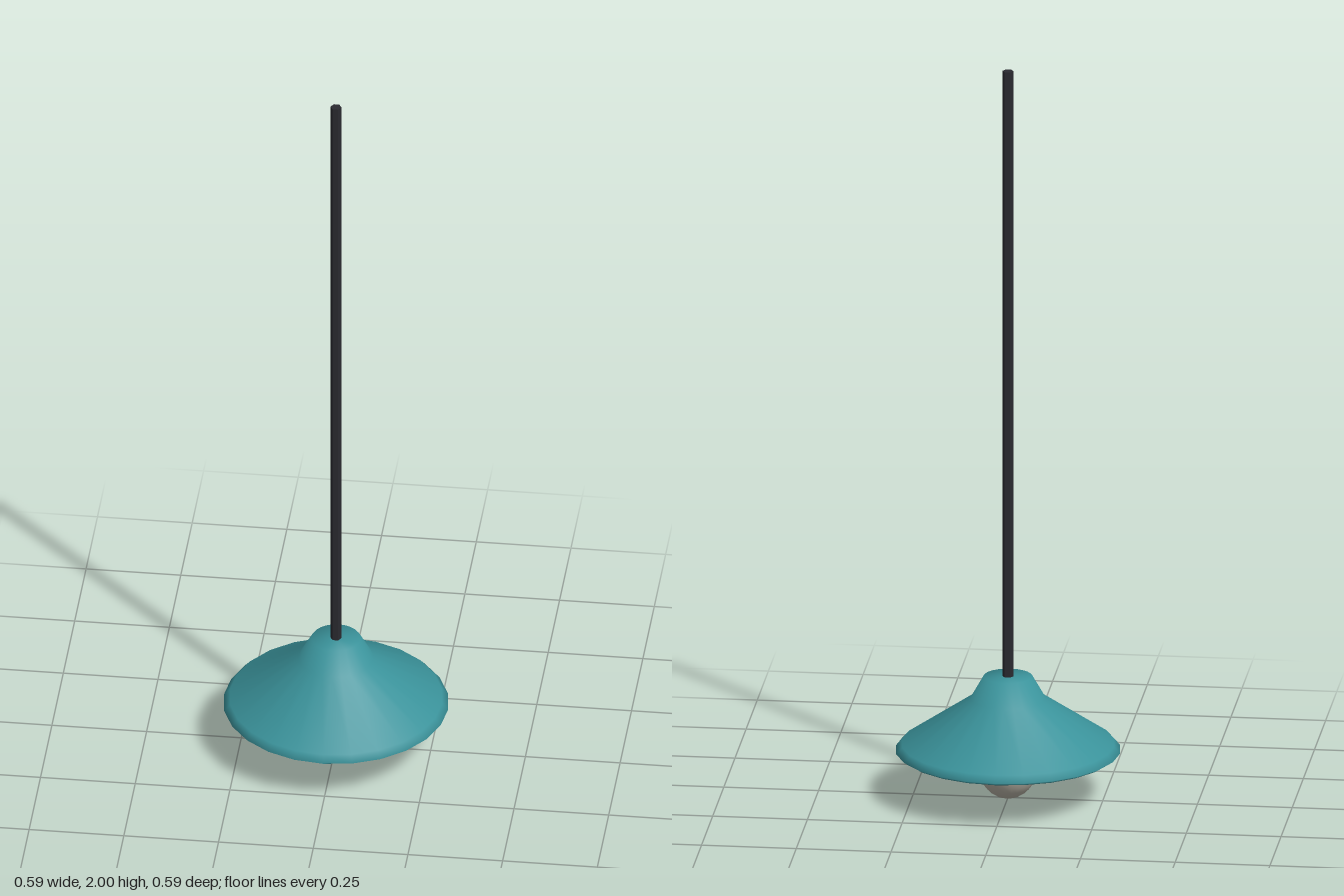
import * as THREE from 'three';

export function createModel() {
  const group = new THREE.Group();
  group.name = 'pendantLamp';

  const add = (name, geometry, material, y = 0) => {
    const mesh = new THREE.Mesh(geometry, new THREE.MeshStandardMaterial(material));
    mesh.name = name;
    mesh.position.y = y;
    group.add(mesh);
    return mesh;
  };

  // Flared shade, closed by a flat underside, with a thin bevelled rim and a short neck
  const profile = [
    [0, 0.124], [0.284, 0.124], [0.296, 0.132], [0.28, 0.15],
    [0.098, 0.274], [0.064, 0.334], [0, 0.334],
  ].map(([r, y]) => new THREE.Vector2(r, y));
  add('shade', new THREE.LatheGeometry(profile, 24), { color: 0x3a929a, side: THREE.DoubleSide });

  // Egg-shaped bulb, half sunk into the underside
  const bulb = add('bulb', new THREE.SphereGeometry(0.083, 24, 16), { color: 0xb8b3a6 }, 0.1);
  bulb.scale.y = 0.1 / 0.083;

  // Six-sided hanging rod
  const rodGeometry = new THREE.CylinderGeometry(0.0145, 0.0145, 1.68, 6).rotateY(Math.PI / 6);
  add('rod', rodGeometry, { color: 0x2a2a30, flatShading: true }, 1.16);

  return group;
}
